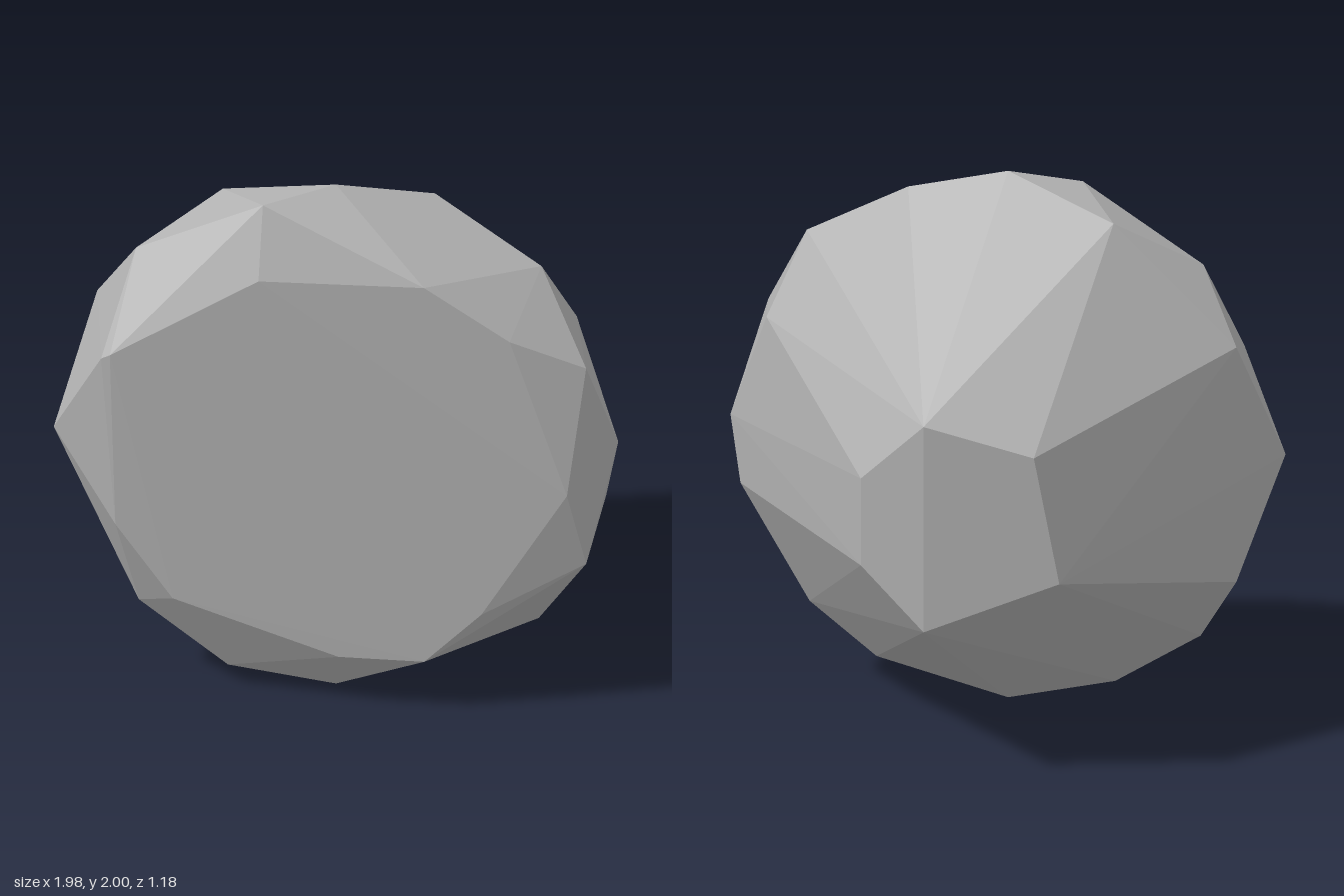
import * as THREE from 'three';
import { ConvexGeometry } from 'three/addons/geometries/ConvexGeometry.js';

// Corners of the broad, slightly tilted front facet
const frontRing = [
  [-0.28, 1.7, 0.43], [0.3, 1.7, 0.505], [0.6, 1.5, 0.55], [0.87, 1.38, 0.535],
  [0.8, 0.9, 0.59], [0.87, 0.6, 0.54], [0.5, 0.41, 0.55], [0.3, 0.21, 0.52],
  [0, 0.21, 0.47], [-0.58, 0.41, 0.38], [-0.78, 0.69, 0.34], [-0.8, 1.37, 0.345],
  [-0.83, 1.35, 0.33],
];

// Widest outline around the stone
const girdle = [
  [0, 2, 0.28], [0.35, 1.94, 0.25], [0.72, 1.71, 0.38], [0.85, 1.43, 0.24],
  [0.99, 1, 0.38], [0.95, 0.76, 0.33], [0.71, 0.3, 0.38], [0.46, 0.16, 0.23],
  [0, 0, 0.28], [-0.38, 0.08, 0.27], [-0.69, 0.3, 0.18], [-0.83, 0.57, 0.03],
  [-0.99, 1, 0.18], [-0.83, 1.46, 0.03], [-0.7, 1.71, 0.18], [-0.39, 1.89, 0.09],
  [-0.26, 1.95, 0.33],
];

// Small facet that closes the tapered back
const backRing = [
  [0.22, 1.37, -0.59], [-0.17, 1.265, -0.59], [-0.26, 0.79, -0.59],
  [0.22, 0.59, -0.59], [0.45, 0.8, -0.5], [0.45, 1.13, -0.5],
];

export function createModel() {
  const group = new THREE.Group();
  group.name = 'rock';

  const stone = new THREE.MeshStandardMaterial({ color: 0xb0b0b0 });
  stone.name = 'stone grey';

  // Flat facets stretched over the three rings
  const corners = [...frontRing, ...girdle, ...backRing].map((p) => new THREE.Vector3(...p));
  const boulder = new THREE.Mesh(new ConvexGeometry(corners), stone);
  boulder.name = 'boulder';
  group.add(boulder);

  return group;
}
